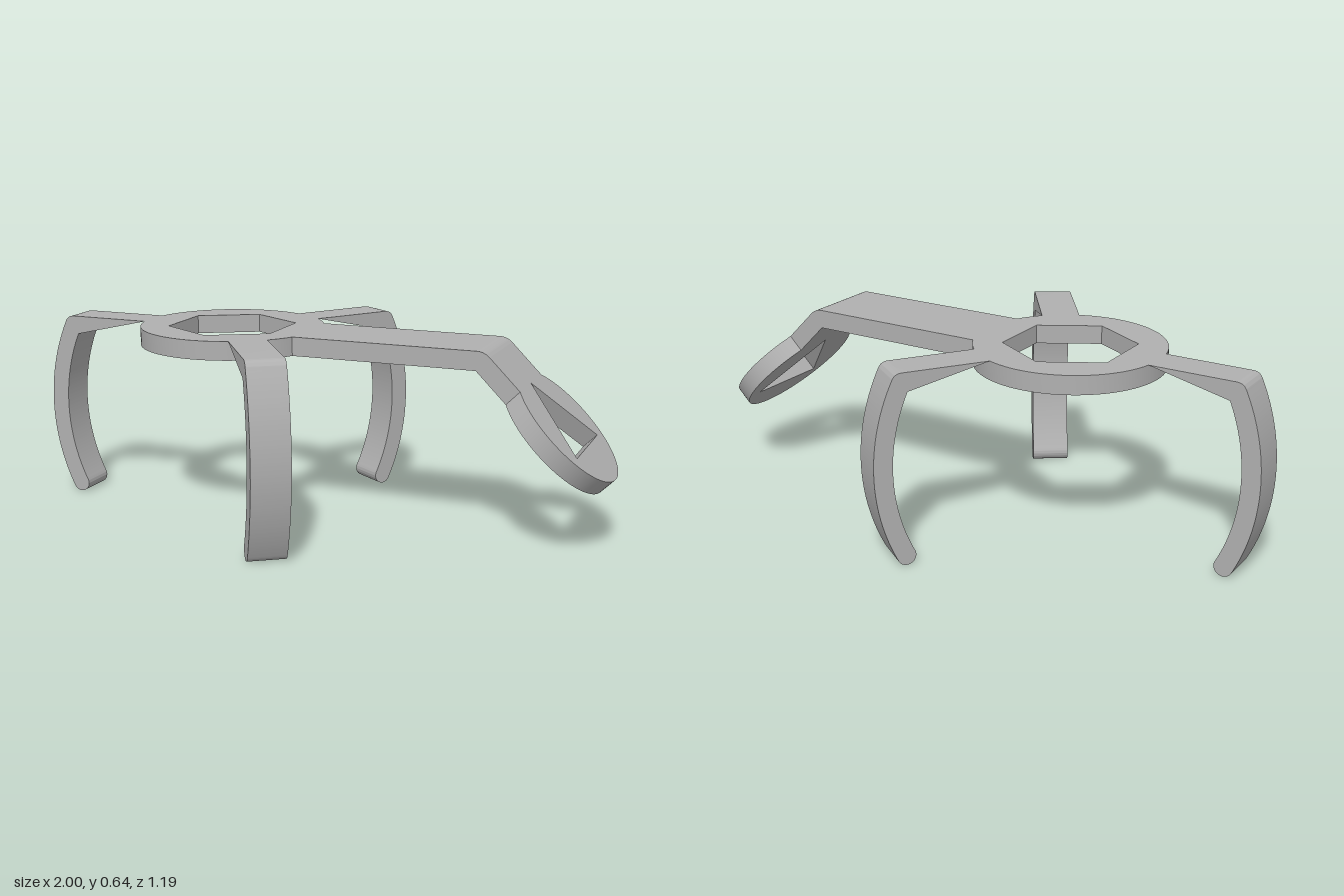
import * as THREE from 'three';
import { toCreasedNormals } from 'three/addons/utils/BufferGeometryUtils.js';

const TOP = 0.637, THICK = 0.062, BOTTOM = TOP - THICK;
const HUB_X = -0.315, HUB_R = 0.31;

const grey = new THREE.MeshStandardMaterial({ color: 0xb0b0b0 });
grey.name = 'grey';

// Extrude a shape centred on its own depth, with smooth curves and sharp edges
function plate(name, shape, depth) {
  const raw = new THREE.ExtrudeGeometry(shape, { depth, bevelEnabled: false, curveSegments: 48 });
  raw.translate(0, 0, -depth / 2);
  const mesh = new THREE.Mesh(toCreasedNormals(raw, 0.5), grey);
  mesh.name = name;
  return mesh;
}

// Disc with a regular polygon hole
function discShape(radius, holeRadius, sides, startAngle) {
  const shape = new THREE.Shape().absarc(0, 0, radius, 0, Math.PI * 2, false);
  const points = [];
  for (let i = 0; i < sides; i++) {
    const a = startAngle - (i / sides) * Math.PI * 2;
    points.push(new THREE.Vector2(Math.cos(a) * holeRadius, Math.sin(a) * holeRadius));
  }
  shape.holes.push(new THREE.Path(points));
  return shape;
}

// Side profile of a leg: straight spoke, then a bowed shank with a round foot
function legShape() {
  const cy = 0.325, outer = 0.685, inner = outer - THICK, mid = (outer + inner) / 2;
  const foot = -Math.asin((cy - THICK / 2) / mid);
  const innerStart = Math.asin((BOTTOM - cy) / inner);
  const s = new THREE.Shape();
  s.moveTo(0.303, BOTTOM);
  s.absarc(0, cy, inner, innerStart, foot, true);
  s.absarc(mid * Math.cos(foot), cy + mid * Math.sin(foot), THICK / 2, foot + Math.PI, foot + Math.PI * 2, false);
  s.absarc(0, cy, outer, foot, 0.437, false);
  s.quadraticCurveTo(0.612, TOP, 0.588, TOP);
  s.lineTo(0.303, TOP);
  s.closePath();
  return s;
}

export function createModel() {
  const model = new THREE.Group();
  model.name = 'threeLeggedHolder';

  // Round hub with hexagonal opening
  const hub = plate('hubRing', discShape(HUB_R, 0.215, 6, Math.PI / 2), THICK);
  hub.rotation.x = -Math.PI / 2;
  hub.position.set(HUB_X, TOP - THICK / 2, 0);
  model.add(hub);

  // Three legs around the hub
  const legs = [['rightLeg', 180], ['backLeg', 55], ['frontLeg', -55]];
  for (const [name, degrees] of legs) {
    const leg = plate(name, legShape(), 0.126);
    leg.position.x = HUB_X;
    leg.rotation.y = THREE.MathUtils.degToRad(degrees);
    model.add(leg);
  }

  // Flat arm that bends down at 45 degrees
  const discX = 0.843, discY = 0.397, discR = 0.222, armWidth = 0.272;
  const drop = THICK * Math.SQRT1_2;
  const back = Math.sqrt(discR ** 2 - (armWidth / 2) ** 2) * Math.SQRT1_2;
  const endX = discX - back, endY = discY + back;
  const bendTop = discX + discY - TOP;
  const bendBottom = discX + discY - 2 * drop - BOTTOM;
  const armStart = HUB_X + Math.sqrt(HUB_R ** 2 - (armWidth / 2) ** 2) - 0.001;
  const arm = new THREE.Shape();
  arm.moveTo(armStart, BOTTOM);
  arm.lineTo(bendBottom, BOTTOM);
  arm.lineTo(endX - drop, endY - drop);
  arm.lineTo(endX, endY);
  arm.lineTo(bendTop + 0.018, TOP - 0.018);
  arm.quadraticCurveTo(bendTop, TOP, bendTop - 0.025, TOP);
  arm.lineTo(armStart, TOP);
  arm.closePath();
  model.add(plate('bentArm', arm, armWidth));

  // Tilted end disc with triangular opening
  const tilt = new THREE.Group();
  tilt.name = 'endDisc';
  tilt.position.set(discX - drop / 2, discY - drop / 2, 0);
  tilt.rotation.z = -Math.PI / 4;
  const disc = plate('endDiscPlate', discShape(discR, 0.176, 3, Math.PI), THICK);
  disc.rotation.x = -Math.PI / 2;
  tilt.add(disc);
  model.add(tilt);

  return model;
}
